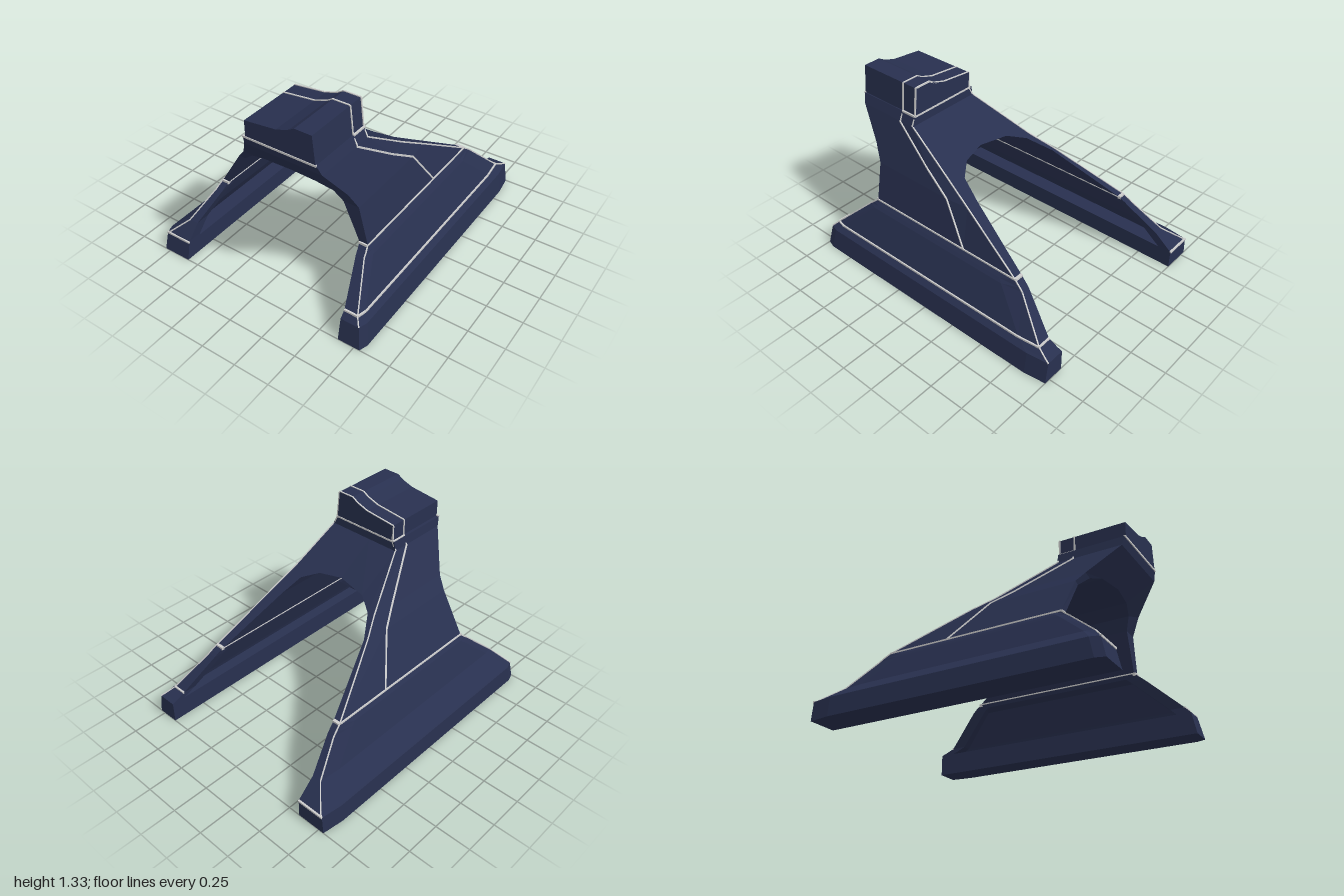
import * as THREE from 'three';

const navy = new THREE.MeshStandardMaterial({ color: 0x28304f, flatShading: true });
const pale = new THREE.MeshStandardMaterial({ color: 0xcccccc });

// Closed solid through rings of [x, y, z] points; faces always turned outward
function loft(rings) {
  const tris = [];
  const n = rings[0].length;
  for (let i = 0; i < rings.length - 1; i++) {
    for (let j = 0; j < n; j++) {
      const k = (j + 1) % n;
      const [a, b, c, d] = [rings[i][j], rings[i][k], rings[i + 1][k], rings[i + 1][j]];
      tris.push([a, b, c], [a, c, d]);
    }
  }
  const first = rings[0], last = rings[rings.length - 1];
  for (let j = 1; j < n - 1; j++) {
    tris.push([first[0], first[j + 1], first[j]], [last[0], last[j], last[j + 1]]);
  }
  let volume = 0;
  for (const t of tris) {
    const [a, b, c] = t.map((p) => new THREE.Vector3(...p));
    volume += a.dot(b.cross(c));
  }
  if (volume < 0) tris.forEach((t) => t.reverse());
  const geo = new THREE.BufferGeometry();
  geo.setAttribute('position', new THREE.Float32BufferAttribute(tris.flat(2), 3));
  geo.computeVertexNormals();
  return geo;
}

// Linear lookup in a table of [key, value]
function lookup(table, y) {
  for (let i = 1; i < table.length; i++) {
    const [y0, v0] = table[i - 1], [y1, v1] = table[i];
    if (y <= y1) return v0 + ((v1 - v0) * (y - y0)) / (y1 - y0);
  }
  return table[table.length - 1][1];
}
const frontZ = (y) => lookup([[0.46, 0.63], [0.73, 0.64], [0.82, 0.68], [1.06, 0.86]], y);
const backZ = (y) => lookup([[0.46, -0.6], [0.73, -0.14], [0.88, 0.12], [1.06, 0.4]], y);
const ridgeZ = (y) => lookup([[0.46, -0.17], [0.73, 0.02], [0.86, 0.23], [1.06, 0.52]], y);

// Lower legs: [y, inner x, edge x, panel x, front z, back z, inner pocket depth]
const leftLevels = [
  [0, 0.635, 0.79, 0.81, 1, -1, 0],
  [0.15, 0.635, 0.765, 0.785, 0.97, -1, 0],
  [0.16, 0.635, 0.755, 0.775, 0.96, -0.97, 0.07],
  [0.19, 0.635, 0.73, 0.745, 0.93, -0.9, 0.06],
  [0.41, 0.555, 0.615, 0.64, 0.69, -0.67, 0.05],
  [0.43, 0.55, 0.61, 0.625, 0.665, -0.645, 0],
  [0.46, 0.54, 0.6, 0.6, 0.63, -0.6, 0],
];
const rightLevels = [
  [0, 0.585, 0.79, 0.81, 1, -1, 0],
  [0.13, 0.585, 0.78, 0.8, 0.97, -1, 0],
  [0.14, 0.585, 0.76, 0.79, 0.965, -0.99, 0.1],
  [0.24, 0.58, 0.645, 0.66, 0.88, -0.87, 0.045],
  [0.41, 0.515, 0.565, 0.585, 0.69, -0.67, 0.04],
  [0.43, 0.51, 0.56, 0.575, 0.665, -0.645, 0],
  [0.46, 0.5, 0.55, 0.55, 0.63, -0.6, 0],
];
const legRing = (s) => ([y, xi, xe, xb, zf, zb, d]) => [
  [xi, zf], [xe, zf], [xb, zf - 0.06], [xb, zb + 0.15], [xe, zb],
  [xi, zb], [xi, zb + 0.1], [xi + d, zb + 0.1], [xi + d, zf - 0.1], [xi, zf - 0.1],
].map(([x, z]) => [s * x, y, z]);

// Arch stations from left to right: [outer x, outer y, inner x, inner y]
const stations = [
  [0.6, 0.46, 0.54, 0.46], [0.54, 0.73, 0.43, 0.73], [0.505, 0.85, 0.385, 0.815],
  [0.44, 1.06, 0.28, 0.86], [0.11, 1.06, 0.11, 0.88], [-0.12, 1.06, -0.11, 0.86],
  [-0.3, 0.82, -0.23, 0.815], [-0.37, 0.74, -0.33, 0.73], [-0.55, 0.46, -0.5, 0.46],
];
function archRing([xo, yo, xi, yi]) {
  const inset = yo > 0.46 && yo < 1.06 ? 0.02 * Math.sign(xo) : 0;
  return [
    [xi, yi, frontZ(yi)], [xo, yo, frontZ(yo)], [xo, yo, ridgeZ(yo)],
    [xo - inset, yo, backZ(yo)], [xi, yi, backZ(yi)],
  ];
}

export function createModel() {
  const model = new THREE.Group();
  const add = (name, geo, mat = navy, parent = model) => {
    const mesh = new THREE.Mesh(geo, mat);
    mesh.name = name;
    parent.add(mesh);
    return mesh;
  };

  // Pale inlay: thin bars along a path
  function trim(name, points, w = 0.013) {
    const group = new THREE.Group();
    group.name = name;
    for (let i = 0; i < points.length - 1; i++) {
      const a = new THREE.Vector3(...points[i]), b = new THREE.Vector3(...points[i + 1]);
      const bar = add(name + 'Bar', new THREE.BoxGeometry(w, w, a.distanceTo(b)), pale, group);
      bar.position.copy(a).lerp(b, 0.5);
      bar.lookAt(b);
    }
    model.add(group);
  }

  // Legs with their feet, and the arch joining them
  add('leftLeg', loft(leftLevels.map(legRing(1))));
  add('rightLeg', loft(rightLevels.map(legRing(-1))));
  const rings = stations.map(archRing);
  add('arch', loft(rings));

  // Neck and stepped block on top
  const rect = (x0, x1, y, zf) => [[x0, y, zf], [x1, y, zf], [x1, y, 0.4], [x0, y, 0.4]];
  add('neck', loft([rect(-0.12, 0.44, 1.06, 0.86), rect(-0.11, 0.415, 1.125, 0.88)]));
  const profile = [
    [-0.09, 1.12], [-0.09, 1.24], [0.14, 1.265], [0.23, 1.295],
    [0.27, 1.32], [0.39, 1.32], [0.41, 1.12],
  ];
  const slice = (z) => profile.map(([x, y]) => [x, y, z]);
  add('topBlock', loft([slice(0.4), slice(0.88)]));

  // Inlays of the block
  trim('blockFrontTrim', [[-0.11, 1.125, 0.878], [0.415, 1.125, 0.878]]);
  trim('blockBackTrim', [
    [-0.1, 1.125, 0.515], [-0.1, 1.125, 0.402], [0.415, 1.125, 0.402], [0.415, 1.125, 0.515],
  ], 0.012);
  for (const z of [0.405, 0.515]) {
    trim('blockHoopTrim', [[-0.12, 1.06, z], ...slice(z), [0.44, 1.06, z]], 0.01);
  }

  // Inlays of the arch shoulders
  for (const side of [rings.slice(0, 4), rings.slice(5)]) {
    trim('ridgeTrim', side.map((r) => r[2]), 0.011);
    trim('backEdgeTrim', side.map((r) => r[3]), 0.008);
  }

  // Inlays of the legs
  for (const [s, levels] of [[1, leftLevels], [-1, rightLevels]]) {
    const [y, xi, xo, , zf, zb] = levels[6];
    trim('waistTrim', [[s * xo, y, zf], [s * xo, y, zb]], 0.011);
    trim('innerWaistTrim', [[s * xi, y, zf], [s * xi, y, zb]], 0.008);
    for (const z of [zf, zb]) {
      trim('waistBand', [[s * xi, y - 0.005, z], [s * xo, y - 0.005, z]], 0.022);
    }
    const edge = levels.slice(1);
    trim('legFrontTrim', edge.map((l) => [s * l[2], l[0], l[4]]), 0.008);
    trim('legBackTrim', edge.map((l) => [s * l[2], l[0], l[5]]), 0.008);
    const foot = s > 0 ? levels[3] : levels[1];
    for (const z of [foot[4], foot[5]]) {
      trim('footBand', [[s * foot[1], foot[0], z], [s * foot[2], foot[0], z]], 0.013);
    }
  }
  const l = leftLevels[3];
  trim('leftSkirtTrim', [
    [l[2], l[0], l[4]], [l[3], l[0], l[4] - 0.06], [l[3], l[0], l[5] + 0.15], [l[2], l[0], l[5]],
  ]);
  return model;
}
